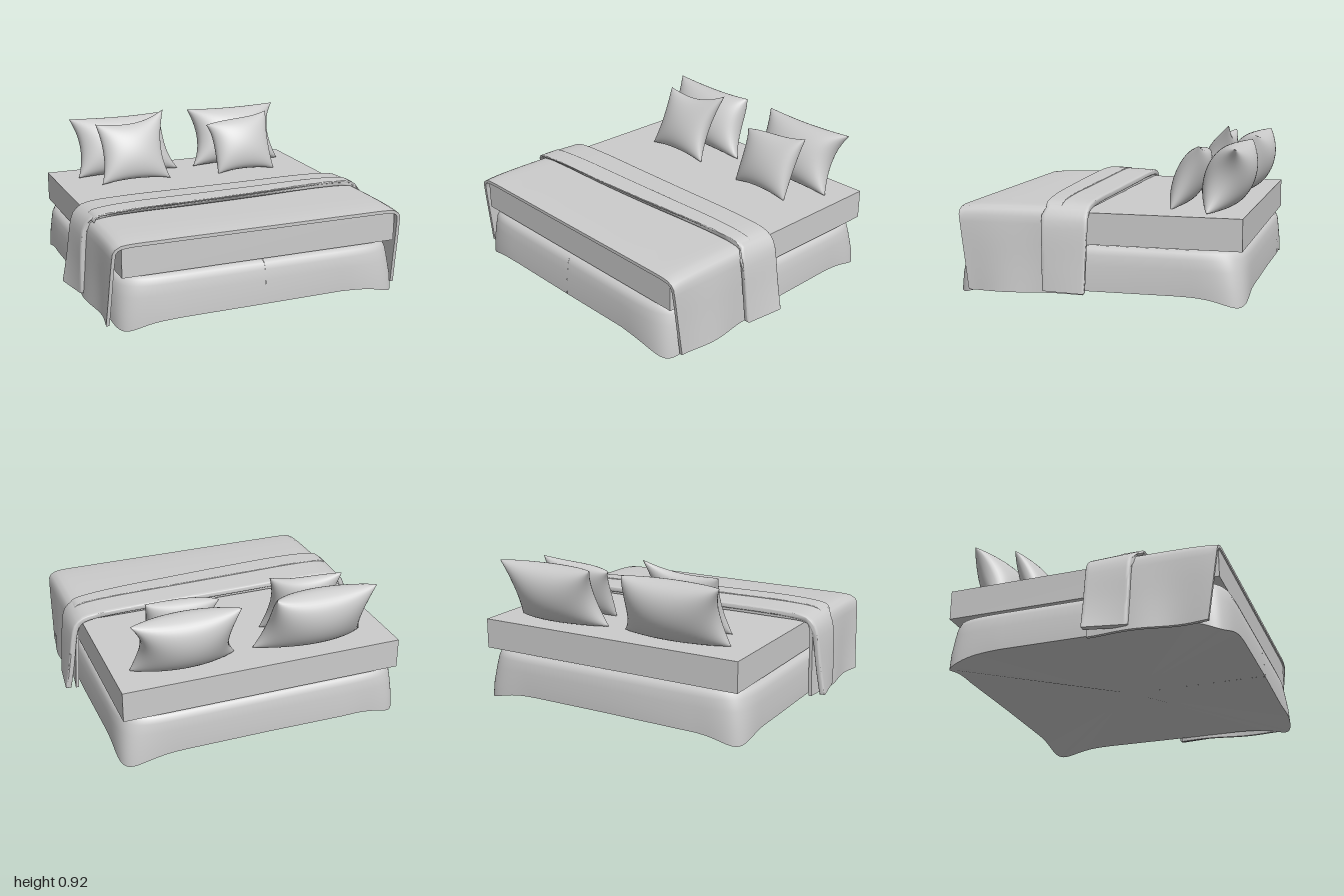
import * as THREE from 'three';
import { mergeGeometries, mergeVertices, toCreasedNormals } from 'three/addons/utils/BufferGeometryUtils.js';

const material = new THREE.MeshStandardMaterial({ color: 0xcccccc, side: THREE.DoubleSide });

function addMesh(parent, name, geometry) {
  const mesh = new THREE.Mesh(geometry, material);
  mesh.name = name;
  parent.add(mesh);
  return mesh;
}

// Move every vertex of a geometry by a rule
function reshape(geometry, rule) {
  const pos = geometry.attributes.position;
  const p = new THREE.Vector3();
  for (let i = 0; i < pos.count; i++) {
    rule(p.fromBufferAttribute(pos, i));
    pos.setXYZ(i, p.x, p.y, p.z);
  }
  return geometry;
}

// Bed base with a fabric skirt: a lathe squared off, flared and sagging at the corners
function skirtGeometry() {
  const profile = [[0, 0.06], [0.97, 0.06], [1, 0.055], [1, 0.12], [0.992, 0.2], [0.985, 0.26],
    [0.97, 0.295], [0.94, 0.308], [0, 0.31]].map(([r, y]) => new THREE.Vector2(r, y));
  const geometry = reshape(new THREE.LatheGeometry(profile, 120), (p) => {
    const r = Math.hypot(p.x, p.z);
    if (r < 0.01) return;
    const square = (c) => Math.sign(c) * Math.pow(Math.abs(c), 0.2);
    const sx = square(p.x / r), sz = square(p.z / r);
    const corner = Math.pow(Math.abs(sx * sz) / 0.87, 10);
    const low = r > 0.9 ? Math.max(0, (0.26 - p.y) / 0.2) : 0;
    const flare = 1 + 0.02 * corner * low;
    const ripple = 0.006 * low * Math.sin(9 * sx + 7 * sz);
    p.x = sx * (0.89 * r * flare + ripple);
    p.z = sz * (0.85 * r * flare + ripple);
    p.y -= 0.05 * corner * low * low;
  });
  return toCreasedNormals(geometry, 0.8);
}

// Cloth laid over the bed: an arch-shaped section run along z, then softened by a rule
function drapeGeometry(half, thickness, z0, z1, bevel, rule) {
  const right = half.map(([x, y]) => new THREE.Vector2(x, y));
  const left = half.map(([x, y]) => new THREE.Vector2(-x, y)); // hem to top
  const curve = new THREE.SplineCurve([...left, ...right.reverse()]);
  const outer = [], inner = [];
  for (let i = 0; i <= 70; i++) {
    const p = curve.getPointAt(i / 70), t = curve.getTangentAt(i / 70);
    outer.push(p);
    inner.unshift(new THREE.Vector2(p.x + t.y * thickness, p.y - t.x * thickness));
  }
  const geometry = new THREE.ExtrudeGeometry(new THREE.Shape([...outer, ...inner]), {
    depth: z1 - z0 - 2 * bevel, steps: 20, bevelEnabled: bevel > 0,
    bevelThickness: bevel, bevelSize: bevel * 0.7, bevelOffset: -bevel * 0.7, bevelSegments: 3,
  });
  geometry.translate(0, 0, z0 + bevel);
  return toCreasedNormals(reshape(geometry, rule), 0.8);
}

// Stuffed pillow: two bulging panels with pinched sides and pulled corners
// corners: [dx, dy] for top left, top right, bottom left, bottom right in the front view
function pillowGeometry(w, h, t, pinchX, pinchY, corners) {
  const panels = [1, -1].map((side) => {
    const panel = new THREE.PlaneGeometry(2, 2, 28, 28);
    if (side < 0) panel.rotateY(Math.PI);
    return reshape(panel, (p) => {
      const u = Math.sin(p.x * Math.PI / 2), v = Math.sin(p.y * Math.PI / 2);
      const a = Math.max(0, 1 - u * u), b = Math.max(0, 1 - v * v);
      p.set(u * (w / 2 - pinchX * b), v * (h / 2 - pinchY * a), side * t / 2 * Math.pow(a * b, 0.45));
      corners.forEach(([dx, dy], i) => {
        const k = Math.pow((1 + (i % 2 ? u : -u)) * (1 + (i < 2 ? v : -v)) / 4, 4);
        p.x += dx * k;
        p.y += dy * k;
      });
    });
  });
  const merged = mergeGeometries(panels);
  merged.deleteAttribute('normal');
  merged.deleteAttribute('uv');
  const geometry = mergeVertices(merged, 1e-4);
  geometry.computeVertexNormals();
  return geometry;
}

export function createModel() {
  const bed = new THREE.Group();
  bed.name = 'bed';

  addMesh(bed, 'skirtedBase', skirtGeometry());

  // Mattress
  addMesh(bed, 'mattress', new THREE.BoxGeometry(1.715, 0.182, 1.635)).position.set(0.008, 0.408, -0.0125);

  // Coverlet over the foot half, hanging down both sides
  const coverHalf = [[0.925, 0.04], [0.917, 0.2], [0.908, 0.4], [0.895, 0.49], [0.84, 0.523], [0.6, 0.527], [0.2, 0.527]];
  addMesh(bed, 'coverlet', drapeGeometry(coverHalf, 0.02, 0.06, 0.815, 0, (p) => {
    const drop = Math.max(0, (0.48 - p.y) / 0.45);
    const s = Math.sign(p.x);
    p.x += s * drop * 0.014 * Math.sin(p.z * 11 + s * 2);
    p.y -= drop * 0.015 * p.z;
    if (drop === 0) p.y -= 0.015 * Math.pow(Math.max(0, p.z), 8) / 0.2;
    p.z -= drop * 0.06 * Math.pow(Math.max(0, p.z) / 0.815, 4);
  }));

  // Folded throw across the middle, flaring at the hems
  const throwHalf = [[0.965, 0.06], [0.957, 0.2], [0.942, 0.4], [0.915, 0.495], [0.84, 0.55], [0.6, 0.565], [0.2, 0.565]];
  addMesh(bed, 'throw', drapeGeometry(throwHalf, 0.036, 0.045, 0.315, 0.012, (p) => {
    const drop = Math.max(0, (0.5 - p.y) / 0.44);
    const along = (p.z - 0.045) / 0.27;
    p.x += Math.sign(p.x) * drop * drop * 0.035 * (p.x < 0 ? 1 - 1.4 * along : 1 - 0.8 * along);
    if (drop === 0) {
      p.y += 0.012 * (along - 0.6);
      p.z += along * 0.035 * Math.cos((p.x + 0.45) * 1.6) - 0.012 * p.x;
    } else {
      p.z -= 0.012 * p.x + drop * 0.015 * along;
    }
  }));
  // Raised upper fold of the throw
  addMesh(bed, 'throwFold', drapeGeometry(
    [[0.885, 0.52], [0.84, 0.556], [0.6, 0.572], [0.2, 0.572]], 0.015, 0.22, 0.33, 0.006, (p) => {
      const along = (p.z - 0.22) / 0.11;
      p.z += along * 0.03 * Math.cos((p.x + 0.45) * 1.6) - 0.03 * p.x;
    }));

  // Pillows leaning back at the head
  const placePillow = (name, geometry, x, y, z, lean, turn = 0) => {
    const pillow = addMesh(bed, name, geometry);
    pillow.position.set(x, y, z);
    pillow.rotation.set(-lean, 0, turn);
  };
  placePillow('backPillowRight', pillowGeometry(0.65, 0.4, 0.28, 0.035, 0.012,
    [[-0.02, 0], [-0.04, 0], [-0.01, 0], [0.04, 0]]), -0.36, 0.685, -0.69, 0.42);
  placePillow('backPillowLeft', pillowGeometry(0.62, 0.4, 0.28, 0.05, 0.012,
    [[0, 0], [0.03, 0], [-0.02, 0], [0, 0]]), 0.45, 0.685, -0.69, 0.42);
  placePillow('frontCushionRight', pillowGeometry(0.45, 0.4, 0.18, 0.03, 0.02,
    [[0, 0], [0.03, 0.065], [-0.01, 0], [0.01, 0]]), -0.36, 0.685, -0.475, 0.42);
  placePillow('frontCushionLeft', pillowGeometry(0.44, 0.39, 0.18, 0.025, 0.02,
    [[-0.015, -0.05], [0, 0.015], [0.02, 0], [-0.01, 0]]), 0.415, 0.675, -0.455, 0.42);

  return bed;
}
